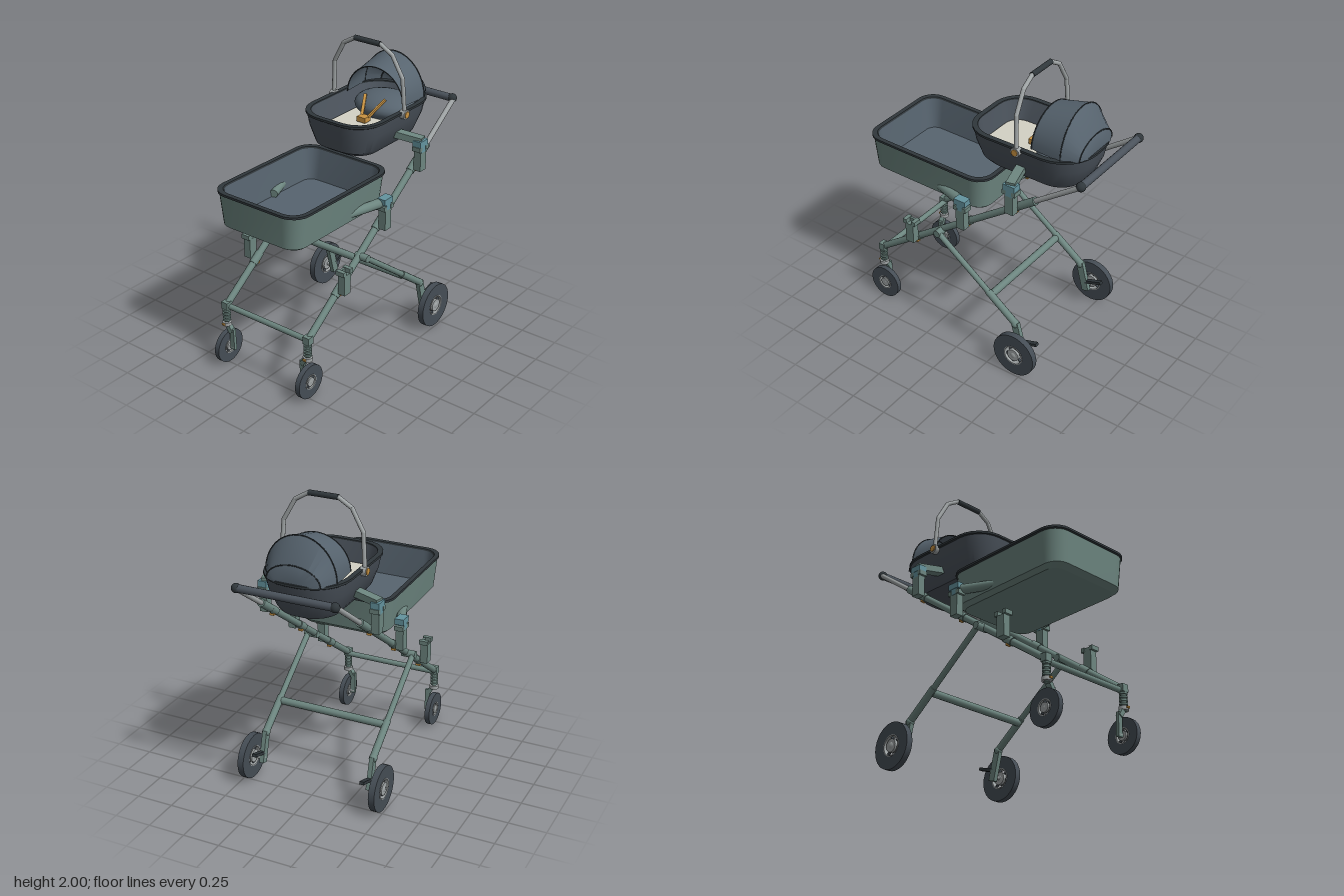
import * as THREE from 'three';
import { toCreasedNormals } from 'three/addons/utils/BufferGeometryUtils.js';

const mat = (name, color, side = THREE.FrontSide) => {
  const m = new THREE.MeshStandardMaterial({ color, side });
  m.name = name;
  return m;
};
const V = (x, y, z) => new THREE.Vector3(x, y, z);

export function createModel() {
  const frame = mat('frame green', 0x6d8680);
  const fabric = mat('slate fabric', 0x57646f, THREE.DoubleSide);
  const shell = mat('dark shell', 0x4b535c, THREE.DoubleSide);
  const trim = mat('black trim', 0x30373b);
  const tire = mat('tire', 0x454d55);
  const silver = mat('silver', 0xa0a5a6);
  const teal = mat('teal cap', 0x64949f);
  const amber = mat('amber', 0xc99342);
  const cream = mat('cream', 0xd4d2c5);

  const model = new THREE.Group();
  const add = (name, geo, m, parent = model) => {
    const mesh = new THREE.Mesh(geo, m);
    mesh.name = name;
    parent.add(mesh);
    return mesh;
  };
  // straight round bar between two points
  const rod = (name, a, b, r, m, r2 = r, sides = 12, parent = model) => {
    const d = b.clone().sub(a);
    const mesh = add(name, new THREE.CylinderGeometry(r2, r, d.length(), sides), m, parent);
    mesh.position.copy(a).add(b).multiplyScalar(0.5);
    mesh.quaternion.setFromUnitVectors(V(0, 1, 0), d.normalize());
    return mesh;
  };
  const box = (name, x, y, z, w, h, d, m) => {
    const mesh = add(name, new THREE.BoxGeometry(w, h, d), m);
    mesh.position.set(x, y, z);
    return mesh;
  };
  // rectangular bar between two points
  const beam = (name, a, b, h, w, m) => {
    const mesh = add(name, new THREE.BoxGeometry(w, h, a.distanceTo(b)), m);
    mesh.position.copy(a).add(b).multiplyScalar(0.5);
    mesh.lookAt(b);
    return mesh;
  };
  // skin through cross-sections
  const loft = (rings, closed) => {
    const pos = [], n = rings[0].length;
    for (let i = 0; i + 1 < rings.length; i++)
      for (let j = 0; j < (closed ? n : n - 1); j++) {
        const k = (j + 1) % n, p = rings[i], q = rings[i + 1];
        for (const v of [p[j], q[j], p[k], p[k], q[j], q[k]]) pos.push(v.x, v.y, v.z);
      }
    const g = new THREE.BufferGeometry();
    g.setAttribute('position', new THREE.Float32BufferAttribute(pos, 3));
    return toCreasedNormals(g, 0.5);
  };
  // rounded rectangle section; left and right ends have their own corner radius
  const section = ([x0, x1, w, y, rl, rr], slope) => {
    const pts = [];
    for (const [cx, cz, r, start] of [
      [x1 - rr, w - rr, rr, 0], [x0 + rl, w - rl, rl, 1],
      [x0 + rl, -w + rl, rl, 2], [x1 - rr, -w + rr, rr, 3]])
      for (let i = 0; i <= 6; i++) {
        const t = (start + i / 6) * Math.PI / 2, x = cx + r * Math.cos(t);
        pts.push(V(x, y + slope * x, cz + r * Math.sin(t)));
      }
    return pts;
  };
  const tub = (name, s, parts) => {
    for (const [part, m, rows] of parts)
      add(name + part, loft(rows.map(r => section(r, s)), true), m);
  };

  // large lower basket
  tub('basket', -0.02, [
    ['Outside', frame, [[-0.36, -0.36, 0, 1.01, 0, 0], [-0.77, 0.06, 0.28, 1.01, 0.08, 0.08],
      [-0.81, 0.085, 0.31, 1.035, 0.1, 0.1], [-0.825, 0.105, 0.332, 1.25, 0.11, 0.11]]],
    ['Rim', trim, [[-0.825, 0.105, 0.332, 1.245, 0.11, 0.11], [-0.835, 0.115, 0.342, 1.25, 0.12, 0.12],
      [-0.835, 0.115, 0.342, 1.265, 0.12, 0.12], [-0.805, 0.085, 0.312, 1.265, 0.1, 0.1],
      [-0.8, 0.08, 0.307, 1.25, 0.1, 0.1]]],
    ['Lining', fabric, [[-0.8, 0.08, 0.307, 1.255, 0.1, 0.1], [-0.77, 0.05, 0.28, 1.045, 0.07, 0.07],
      [-0.36, -0.36, 0, 1.045, 0, 0]]]]);

  // bassinet
  tub('bassinet', -0.005, [
    ['Shell', shell, [[0.3, 0.3, 0, 1.325, 0, 0], [0.0, 0.635, 0.19, 1.325, 0.13, 0.16],
      [-0.055, 0.665, 0.215, 1.36, 0.15, 0.19], [-0.083, 0.71, 0.255, 1.47, 0.17, 0.22],
      [-0.095, 0.725, 0.272, 1.555, 0.18, 0.23]]],
    ['Rim', trim, [[-0.095, 0.725, 0.272, 1.55, 0.18, 0.23], [-0.103, 0.733, 0.281, 1.555, 0.19, 0.24],
      [-0.103, 0.733, 0.281, 1.57, 0.19, 0.24], [-0.07, 0.7, 0.248, 1.57, 0.16, 0.21],
      [-0.07, 0.7, 0.248, 1.55, 0.16, 0.21]]],
    ['Lining', shell, [[-0.07, 0.7, 0.248, 1.56, 0.16, 0.21], [-0.04, 0.65, 0.2, 1.42, 0.11, 0.16]]],
    ['Mattress', cream, [[-0.035, 0.65, 0.2, 1.43, 0.11, 0.16], [-0.025, 0.64, 0.19, 1.44, 0.1, 0.15],
      [0.3, 0.3, 0, 1.44, 0, 0]]]]);
  const pad = add('headPad', new THREE.SphereGeometry(1, 24, 14), fabric);
  pad.scale.set(0.175, 0.09, 0.215);
  pad.position.set(0.5, 1.49, 0);

  // folding hood: arched sections running toward the head end
  const arch = (x, h, w, lean) => Array.from({ length: 17 }, (_, i) => {
    const t = Math.PI * i / 16;
    return V(x + lean * Math.sin(t), 1.562 + h * Math.sin(t), w * Math.cos(t));
  });
  const hood = [[0.385, 0.215, 0.222, 0.005], [0.6, 0.268, 0.238, 0], [0.7, 0.115, 0.18, 0.005],
    [0.72, 0.04, 0.13, 0], [0.72, 0, 0, 0]];
  add('hood', loft(hood.map(h => arch(...h)), false), fabric);
  for (const h of hood.slice(0, 3))
    add('hoodSeam', new THREE.TubeGeometry(new THREE.CatmullRomCurve3(arch(...h)), 32, 0.004, 5), trim);

  // harness
  box('buckle', 0.265, 1.465, 0, 0.06, 0.035, 0.065, amber);
  for (const s of [1, -1])
    beam('harnessStrap', V(0.28, 1.475, s * 0.025), V(0.39, 1.575, s * 0.08), 0.012, 0.02, amber);

  // carrying handle
  const hp = [[1.55, 0.283], [1.79, 0.268], [1.93, 0.19], [1.983, 0.1]]
    .map(([y, z]) => [0.318 - (y - 1.55) * 0.04, y, z]);
  for (const s of [1, -1]) {
    for (let i = 0; i < 3; i++) {
      const [a, b] = [hp[i], hp[i + 1]].map(p => V(p[0], p[1], s * p[2]));
      rod('carryHandle', a, b, 0.014, silver);
      add('handleBend', new THREE.SphereGeometry(0.014, 10, 8), silver).position.copy(b);
    }
    rod('handlePivot', V(0.318, 1.55, s * 0.26), V(0.318, 1.55, s * 0.3), 0.032, silver);
    rod('pivotCap', V(0.318, 1.55, s * 0.3), V(0.318, 1.55, s * 0.306), 0.022, amber);
  }
  rod('carryGrip', V(0.3, 1.983, -0.1), V(0.3, 1.983, 0.1), 0.018, trim);

  // wheel with ring tire, spokes and hub, axle along z
  const wheel = (name, x, r, z, depth, inner) => {
    const g = new THREE.Group();
    g.name = name;
    g.position.set(x, r, z);
    model.add(g);
    const h = depth / 2;
    const ring = (a, b, d, m, part) => {
      const pts = [[a, -d], [b, -d], [b, d], [a, d], [a, -d]].map(p => new THREE.Vector2(...p));
      add(part, toCreasedNormals(new THREE.LatheGeometry(pts, 32), 0.6), m, g).rotation.x = Math.PI / 2;
    };
    ring(inner, r, h, tire, 'tire');
    ring(inner - 0.006, inner + 0.001, h + 0.002, silver, 'rim');
    for (let i = 0; i < 6; i++) {
      const t = i * Math.PI / 3 + 0.3;
      rod('spoke', V(0, 0, 0), V(Math.cos(t) * inner, Math.sin(t) * inner, 0), 0.009, tire, 0.009, 8, g);
    }
    rod('hub', V(0, 0, -h - 0.002), V(0, 0, h + 0.002), inner * 0.62, silver, inner * 0.62, 16, g);
    add('hubCap', new THREE.SphereGeometry(inner * 0.52, 14, 8), silver, g).scale.z = 0.8;
  };

  const railAt = (x, z) => V(x, 0.42 + (x + 0.73) * 0.7125, z);
  for (const s of [1, -1]) {
    const z = s * 0.335, zo = s * 0.385;
    // long push rail, with the thin telescopic end
    rod('rail', railAt(-0.73, z), railAt(0.5, z), 0.023, frame);
    rod('railSleeve', railAt(0.37, z), railAt(0.5, z), 0.027, frame);
    rod('railExtension', railAt(0.5, z), railAt(0.805, z), 0.017, silver);
    add('handleEnd', new THREE.SphereGeometry(0.031, 14, 10), trim).position.set(0.805, 1.514, z * 0.97);

    // crossing rear leg
    rod('rearLeg', V(-0.22, 0.785, zo), V(0.2, 0.47, zo), 0.019, frame);
    rod('rearLegLower', V(0.18, 0.485, zo), V(0.4, 0.32, zo), 0.024, frame);
    rod('legPivot', V(-0.215, 0.78, s * 0.31), V(-0.215, 0.78, s * 0.405), 0.025, frame);
    add('legEnd', new THREE.SphereGeometry(0.028, 12, 8), frame).position.set(0.395, 0.32, zo);
    beam('rearAxleArm', V(0.395, 0.33, zo), V(0.45, 0.12, zo), 0.05, 0.03, frame);
    beam('brakePedal', V(0.44, 0.19, zo), V(0.565, 0.23, zo), 0.02, 0.03, trim);
    rod('rearAxle', V(0.45, 0.155, s * 0.37), V(0.45, 0.155, s * 0.46), 0.014, silver);
    wheel('rearWheel', 0.45, 0.153, s * 0.467, 0.042, 0.07);

    // sprung front caster
    box('frontCorner', -0.735, 0.42, z, 0.045, 0.05, 0.05, frame);
    rod('casterPost', V(-0.737, 0.27, z), V(-0.737, 0.41, z), 0.018, frame);
    for (let i = 0; i < 4; i++)
      rod('springCoil', V(-0.737, 0.31 + i * 0.023, z), V(-0.737, 0.322 + i * 0.023, z), 0.027, frame);
    rod('casterCollar', V(-0.737, 0.275, z), V(-0.737, 0.3, z), 0.032, silver);
    box('casterLever', -0.765, 0.29, z, 0.025, 0.012, 0.02, amber);
    beam('casterFork', V(-0.737, 0.27, s * 0.318), V(-0.735, 0.23, s * 0.292), 0.03, 0.035, frame);
    beam('casterBlade', V(-0.735, 0.255, s * 0.292), V(-0.73, 0.1, s * 0.292), 0.022, 0.035, frame);
    rod('frontAxle', V(-0.73, 0.115, s * 0.28), V(-0.73, 0.115, z), 0.012, silver);
    wheel('frontWheel', -0.73, 0.115, z, 0.034, 0.05);

    // three accessory sockets on the rail
    for (const [x, y] of [[-0.435, 0.63], [-0.018, 0.91], [0.355, 1.18]]) {
      box('socket', x, y + 0.07, zo, 0.062, 0.14, 0.052, frame);
      for (const k of [-1, 1]) box('socketLip', x + k * 0.034, y + 0.155, zo, 0.028, 0.03, 0.06, frame);
      box('socketBack', x, y + 0.14, s * 0.368, 0.06, 0.05, 0.015, frame);
      rod('railClamp', railAt(x - 0.035, z), railAt(x + 0.035, z), 0.028, frame);
      box('clampButton', x, railAt(x, z).y - 0.03, z, 0.03, 0.014, 0.03, amber);
    }
    // adapters carrying the basket and the bassinet
    for (const [x, y] of [[-0.018, 1.11], [0.355, 1.37]]) {
      box('adapterCap', x, y, zo, 0.085, 0.04, 0.06, teal);
      box('adapterPlug', x, y - 0.03, zo, 0.05, 0.06, 0.055, teal);
    }
    rod('basketArm', V(-0.02, 1.095, s * 0.375), V(-0.33, 1.075, s * 0.265), 0.034, frame, 0.028);
    beam('bassinetArm', V(0.36, 1.385, s * 0.4), V(0.315, 1.405, s * 0.215), 0.045, 0.06, frame);
  }

  // crossbars and push handle
  rod('rearCrossbar', V(0.2, 0.462, -0.38), V(0.2, 0.462, 0.38), 0.025, frame);
  rod('frontCrossbar', V(-0.725, 0.41, -0.335), V(-0.725, 0.41, 0.335), 0.019, frame);
  rod('pushHandle', V(0.805, 1.514, -0.32), V(0.805, 1.514, 0.32), 0.025, shell);
  return model;
}
